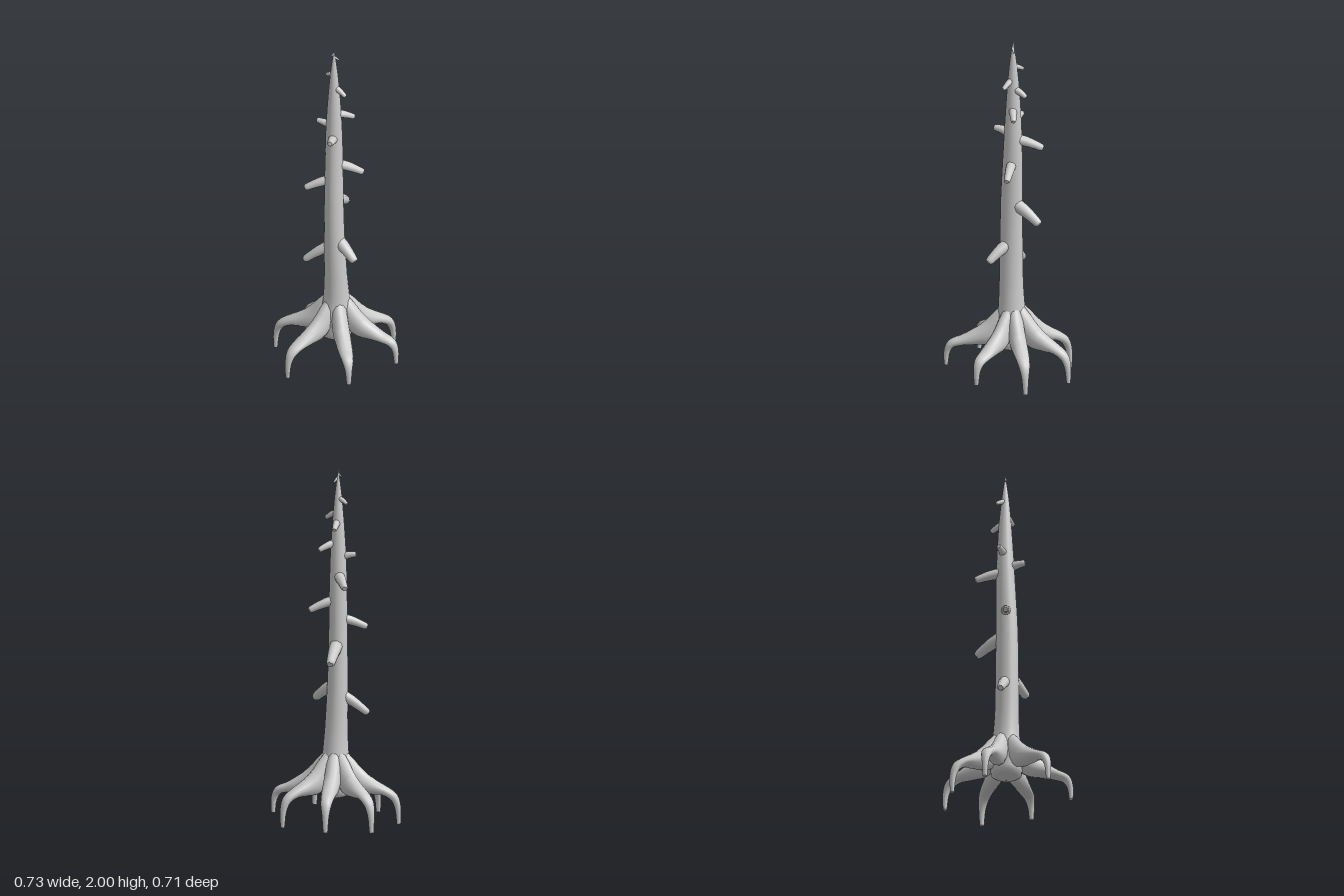
import * as THREE from 'three';

const material = new THREE.MeshStandardMaterial({ color: 0xcccccc });
const V = (x, y, z) => new THREE.Vector3(x, y, z);

// Lofts oval rings along a smoothed path. sections: [x, y, z, halfWidth, halfHeight]
// side: horizontal direction in which the half width is measured
function sweep(name, sections, side, sides, sub) {
  const path = new THREE.CatmullRomCurve3(sections.map(s => V(s[0], s[1], s[2])));
  const radii = new THREE.CatmullRomCurve3(sections.map(s => V(s[3], s[4], 0)));
  const steps = (sections.length - 1) * sub;
  const pos = [], index = [];
  for (let i = 0; i <= steps; i++) {
    const u = i / steps;
    const c = path.getPoint(u), r = radii.getPoint(u);
    const n = path.getTangent(u).cross(side).normalize();
    for (let j = 0; j < sides; j++) {
      const a = (j / sides) * Math.PI * 2;
      const p = c.clone()
        .addScaledVector(side, Math.cos(a) * Math.max(r.x, 0.0005))
        .addScaledVector(n, Math.sin(a) * Math.max(r.y, 0.0005));
      pos.push(p.x, p.y, p.z);
      if (i < steps) {
        const k = i * sides + j, l = i * sides + (j + 1) % sides;
        index.push(k, l, k + sides, l, l + sides, k + sides);
      }
    }
  }
  // end cap with its own vertices, so that its rim stays sharp
  const start = steps * sides, cap = pos.length / 3;
  pos.push(...pos.slice(start * 3));
  const end = path.getPoint(1);
  pos.push(end.x, end.y, end.z);
  for (let j = 0; j < sides; j++) index.push(cap + j, cap + (j + 1) % sides, cap + sides);

  const geo = new THREE.BufferGeometry();
  geo.setAttribute('position', new THREE.Float32BufferAttribute(pos, 3));
  geo.setIndex(index);
  geo.computeVertexNormals();
  const mesh = new THREE.Mesh(geo, material);
  mesh.name = name;
  return mesh;
}

// Trunk: [x, y, z, radius x, radius z]
const TRUNK = [
  [0, 0.15, 0.01, 0.002, 0.002], [0, 0.18, 0.01, 0.085, 0.085], [0, 0.28, 0.01, 0.092, 0.092],
  [0, 0.4, 0.01, 0.074, 0.076], [-0.003, 0.55, 0.014, 0.064, 0.068], [-0.01, 0.8, 0.017, 0.057, 0.065],
  [-0.013, 1.05, 0.017, 0.053, 0.062], [-0.014, 1.3, 0.011, 0.05, 0.055], [-0.015, 1.5, 0.008, 0.045, 0.047],
  [-0.015, 1.7, 0.007, 0.033, 0.035], [-0.015, 1.85, 0.008, 0.02, 0.021], [-0.015, 1.94, 0.008, 0.009, 0.009],
  [-0.015, 2, 0.008, 0.001, 0.001],
];

// Root outline: [share of reach, y, half width, half height]
const ROOT = [
  [0.05, 0.42, 0.03, 0.035], [0.16, 0.34, 0.044, 0.06], [0.36, 0.255, 0.048, 0.066],
  [0.56, 0.227, 0.045, 0.047], [0.76, 0.205, 0.039, 0.028], [0.91, 0.165, 0.031, 0.024],
  [0.975, 0.1, 0.02, 0.018], [0.99, 0.0, 0.013, 0.011],
];
// Root tips: [x, y, z]
const ROOT_TIPS = [
  [0.02, 0.02, -0.35], [-0.228, 0.005, -0.242], [0.275, 0.02, -0.205], [-0.357, 0.02, -0.018],
  [0.355, 0.06, 0.06], [-0.208, 0.03, 0.308], [0.153, 0.06, 0.343],
];

// Branch stubs: [base y, tip x, tip y, tip z, tip radius]
const BRANCHES = [
  [0.75, -0.18, 0.63, 0.025, 0.021], [0.8, 0.125, 0.7, 0.095, 0.024], [1.03, 0.012, 0.93, -0.165, 0.025],
  [1.17, -0.17, 1.11, 0.052, 0.019], [1.27, 0.143, 1.21, -0.028, 0.019], [1.41, -0.068, 1.355, -0.15, 0.02],
  [1.43, -0.01, 1.455, 0.12, 0.018], [1.5, -0.115, 1.525, -0.003, 0.015], [1.59, 0.088, 1.55, -0.043, 0.015],
  [1.71, -0.002, 1.67, -0.077, 0.014], [1.76, 0.057, 1.72, 0.035, 0.012], [1.84, -0.067, 1.81, -0.03, 0.01],
  [1.95, 0.008, 1.925, -0.008, 0.005], [1.975, -0.03, 1.955, 0.014, 0.004],
];

export function createModel() {
  const model = new THREE.Group();
  model.name = 'bareTree';

  model.add(sweep('trunk', TRUNK, V(1, 0, 0), 20, 3));

  // arching roots that hook down to the ground
  const roots = new THREE.Group();
  roots.name = 'roots';
  ROOT_TIPS.forEach(([x, tipY, z]) => {
    const reach = Math.hypot(x, z), dx = x / reach, dz = z / reach;
    const sections = ROOT.map(([s, y, w, h], i) => {
      const lift = tipY * Math.max(0, (i - 4) / 3);
      return [dx * s * reach, y + lift, dz * s * reach, w, h];
    });
    roots.add(sweep('root', sections, V(dz, 0, -dx), 12, 3));
  });
  model.add(roots);

  // broken branch stubs, arching out and drooping, with blunt rounded ends
  const branches = new THREE.Group();
  branches.name = 'branches';
  BRANCHES.forEach(([y0, x, y1, z, r]) => {
    const base = V(-0.012, y0, 0.01), tip = V(x, y1, z);
    const d = tip.clone().sub(base);
    const side = V(d.z, 0, -d.x).normalize();
    const at = (t, k) => {
      const p = base.clone().addScaledVector(d, t);
      return [p.x, p.y + Math.sin(t * Math.PI) * r * 0.3, p.z, r * k, r * k];
    };
    branches.add(sweep('branch', [at(0, 1.5), at(0.45, 1.4), at(0.75, 1.15), at(0.94, 1), at(1, 0.7)], side, 10, 2));
  });
  model.add(branches);
  return model;
}
